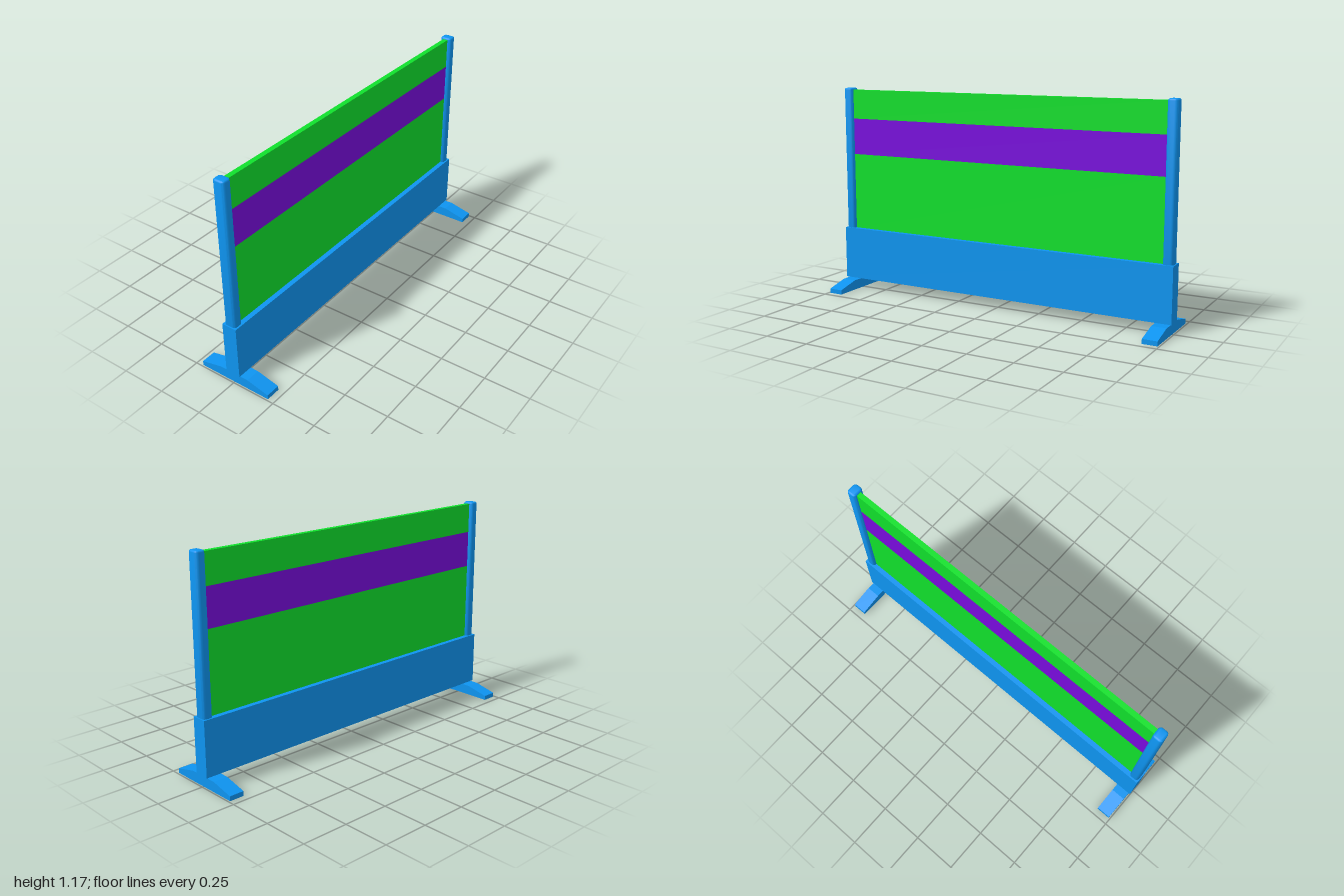
import * as THREE from 'three';
import { toCreasedNormals } from 'three/addons/utils/BufferGeometryUtils.js';

const blue = new THREE.MeshStandardMaterial({ color: 0x0e94f0 });
const green = new THREE.MeshStandardMaterial({ color: 0x10e02c });
const purple = new THREE.MeshStandardMaterial({ color: 0x780cdc });

const toShape = (pts) => new THREE.Shape(pts.map(([x, y]) => new THREE.Vector2(x, y)));

function add(parent, name, geometry, material, x = 0, y = 0, z = 0) {
  const mesh = new THREE.Mesh(geometry, material);
  mesh.name = name;
  mesh.position.set(x, y, z);
  parent.add(mesh);
  return mesh;
}

// Upright post: rounded rectangle with a softened top
function postGeometry(w, d, bottom, top) {
  const bevel = 0.01, r = 0.008;
  const x = w / 2 - bevel, y = d / 2 - bevel;
  const s = new THREE.Shape();
  s.moveTo(-x + r, -y);
  s.lineTo(x - r, -y).quadraticCurveTo(x, -y, x, -y + r);
  s.lineTo(x, y - r).quadraticCurveTo(x, y, x - r, y);
  s.lineTo(-x + r, y).quadraticCurveTo(-x, y, -x, y - r);
  s.lineTo(-x, -y + r).quadraticCurveTo(-x, -y, -x + r, -y);
  const g = new THREE.ExtrudeGeometry(s, {
    depth: top - bottom - 2 * bevel, curveSegments: 4,
    bevelEnabled: true, bevelSize: bevel, bevelThickness: bevel, bevelSegments: 3,
  });
  g.rotateX(-Math.PI / 2).translate(0, bottom + bevel, 0);
  return toCreasedNormals(g, 0.6);
}

// Foot: tapered shell, hollow underneath
function makeFoot(width) {
  const foot = new THREE.Group();
  const outer = [[0.212, 0], [0.212, 0.025], [0.085, 0.055], [-0.085, 0.055], [-0.212, 0.025], [-0.212, 0]];
  const inner = [[-0.204, 0], [-0.204, 0.018], [-0.085, 0.047], [0.085, 0.047], [0.204, 0.018], [0.204, 0]];
  const wall = 0.008;
  const slab = (pts, depth) => new THREE.ExtrudeGeometry(toShape(pts), { depth, bevelEnabled: false });
  add(foot, 'footSkin', slab([...outer, ...inner], width - 2 * wall), blue, 0, 0, wall - width / 2);
  add(foot, 'footFrontWall', slab(outer, wall), blue, 0, 0, width / 2 - wall);
  add(foot, 'footBackWall', slab(outer, wall), blue, 0, 0, -width / 2);
  return foot;
}

export function createModel() {
  const model = new THREE.Group();
  model.name = 'barrier';

  // Solid lower beam
  add(model, 'lowerBeam', new THREE.BoxGeometry(0.084, 0.297, 2), blue, 0, 0.2085, 0);

  // Thin panel in three coloured bands
  const bands = [
    ['lowerPanel', 0.35, 0.79, green],
    ['stripe', 0.79, 0.995, purple],
    ['upperPanel', 0.995, 1.16, green],
  ];
  for (const [name, y0, y1, material] of bands) {
    add(model, name, new THREE.BoxGeometry(0.028, y1 - y0, 1.9), material, 0, (y0 + y1) / 2, 0);
  }

  // Posts and feet at both ends
  for (const [end, side] of [['front', 1], ['back', -1]]) {
    add(model, end + 'Post', postGeometry(0.066, 0.054, 0.33, 1.17), blue, 0, 0, side * 0.967);
    const foot = makeFoot(0.08);
    foot.name = end + 'Foot';
    foot.position.z = side * 0.951;
    model.add(foot);
  }
  return model;
}
